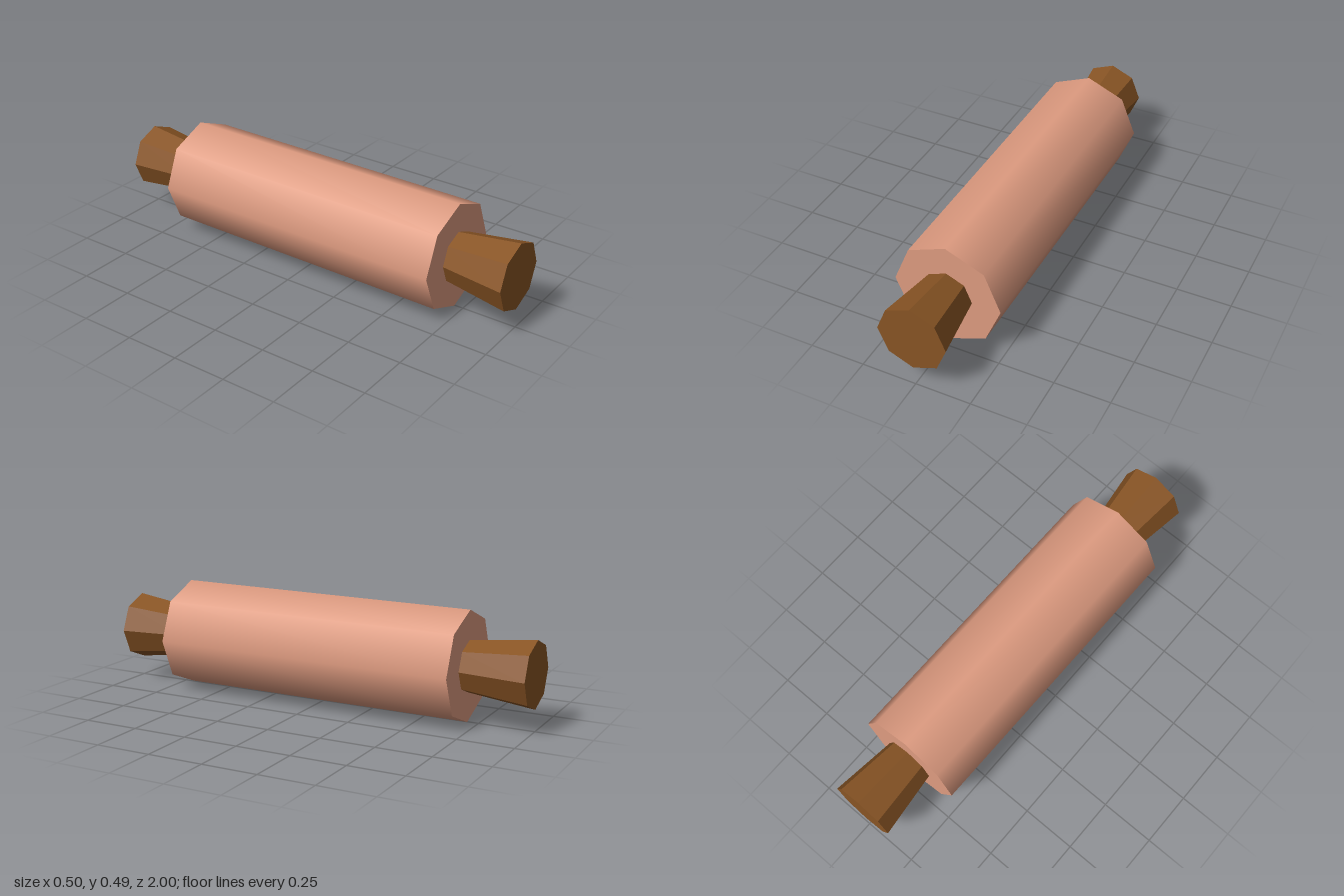
import * as THREE from 'three';

const SIDES = 8;
const AXIS_Y = 0.247;

// Eight-sided tapered cylinder lying along z, between two z positions
function barrel(name, material, rFront, rBack, zFront, zBack) {
  const geometry = new THREE.CylinderGeometry(rFront, rBack, zFront - zBack, SIDES);
  geometry.rotateX(Math.PI / 2);
  geometry.translate(0, 0, (zFront + zBack) / 2);
  const mesh = new THREE.Mesh(geometry, material);
  mesh.name = name;
  return mesh;
}

// Faceted version: every side gets its own flat normal
function facet(mesh) {
  mesh.geometry = mesh.geometry.toNonIndexed();
  mesh.geometry.computeVertexNormals();
  return mesh;
}

export function createModel() {
  const rollerWood = new THREE.MeshStandardMaterial({ color: 0xde9b80 });
  rollerWood.name = 'paleRollerWood';
  const handleWood = new THREE.MeshStandardMaterial({ color: 0x885424 });
  handleWood.name = 'darkHandleWood';

  const pin = new THREE.Group();
  pin.name = 'rollingPin';

  // Smooth-shaded roller and two flared, faceted handles
  pin.add(
    barrel('roller', rollerWood, 0.246, 0.246, 0.71, -0.70),
    facet(barrel('frontHandle', handleWood, 0.156, 0.114, 1, 0.70)),
    facet(barrel('backHandle', handleWood, 0.149, 0.113, -0.69, -1)),
  );
  // The back handle flares toward its outer end
  const back = pin.getObjectByName('backHandle');
  back.geometry = barrel('', handleWood, 0.113, 0.149, -0.69, -1).geometry;
  facet(back);

  // The whole pin lies turned very slightly about the vertical
  pin.position.y = AXIS_Y;
  pin.rotation.y = -0.006;

  const model = new THREE.Group();
  model.name = 'model';
  model.add(pin);
  return model;
}
